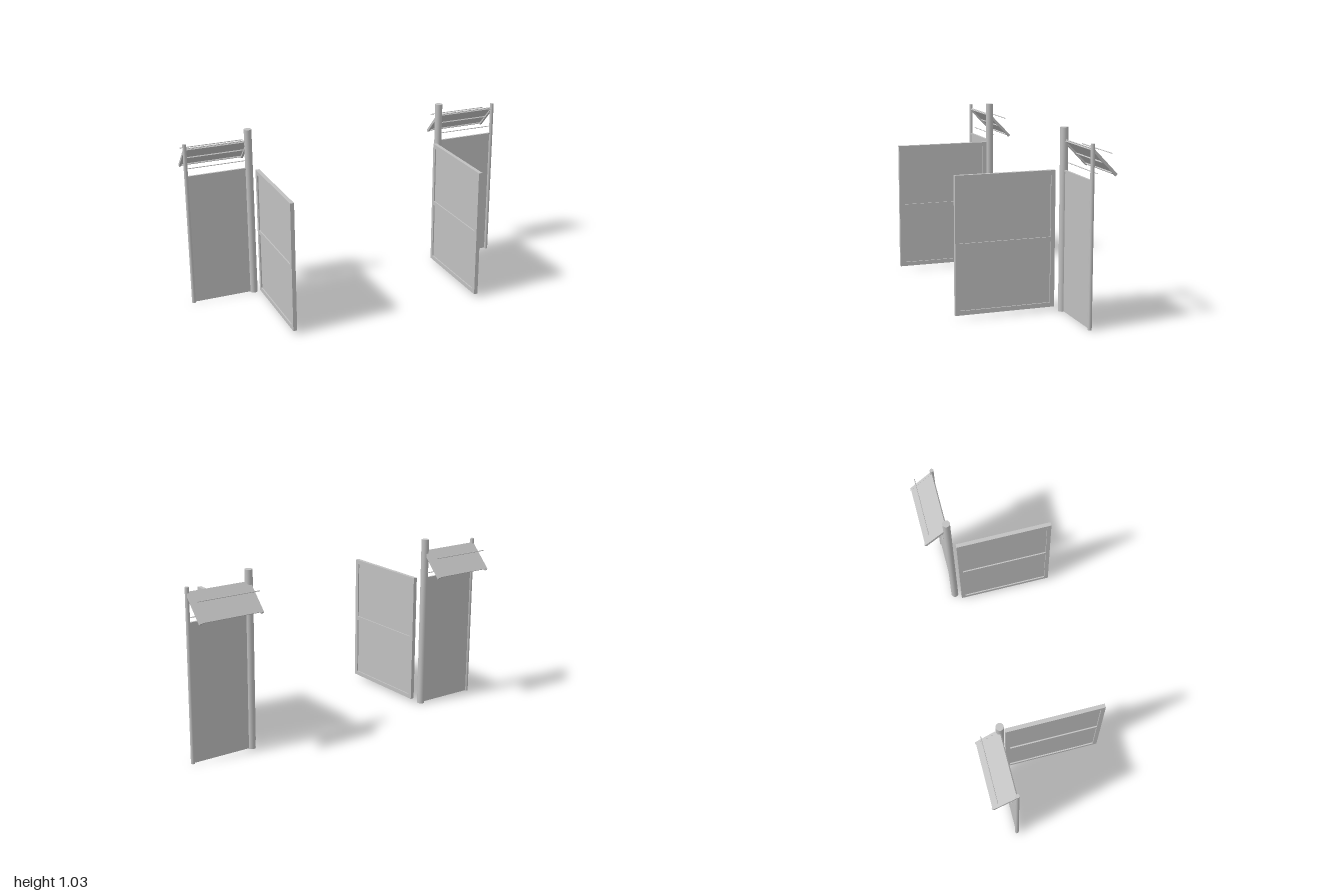
import * as THREE from 'three';

const grey = new THREE.MeshStandardMaterial({ color: 0xc0c0c0 });
grey.name = 'painted grey metal';

function box(parent, name, w, h, d, x, y, z) {
  const m = new THREE.Mesh(new THREE.BoxGeometry(w, h, d), grey);
  m.name = name;
  m.position.set(x, y, z);
  parent.add(m);
}

function post(parent, name, r, h, x, z) {
  const m = new THREE.Mesh(new THREE.CylinderGeometry(r, r, h, 16), grey);
  m.name = name;
  m.position.set(x, h / 2, z);
  parent.add(m);
}

// Gate leaf: outer frame, middle rail and two recessed panels
function gateLeaf(s) {
  const g = new THREE.Group();
  g.name = 'gateLeaf';
  const x = s * 0.576, t = 0.023, zc = 0.09, y0 = 0.021, y1 = 0.791;
  for (const z of [-0.185, 0.365]) box(g, 'gateStile', t, y1 - y0, 0.025, x, (y0 + y1) / 2, z);
  for (const y of [0.0335, 0.407, 0.7785]) box(g, 'gateRail', t, 0.025, 0.525, x, y, zc);
  for (const y of [0.22, 0.593]) box(g, 'gatePanel', 0.008, 0.352, 0.53, x, y, zc);
  return g;
}

// Fence bay: two posts with a thin infill sheet and top rail
function fenceBay(s) {
  const g = new THREE.Group();
  g.name = 'fenceBay';
  const z = -0.234, mid = s * 0.801, w = 0.37;
  post(g, 'mainPost', 0.0222, 1.029, s * 0.614, z);
  post(g, 'outerPost', 0.0112, 0.988, s * 0.9885, z);
  box(g, 'fencePanel', w, 0.787, 0.005, mid, 0.3965, z - 0.002);
  box(g, 'fenceTopRail', w, 0.011, 0.012, mid, 0.791, z);
  // Straight wires above the fence and behind the canopy
  for (const [y, wz] of [[0.933, -0.341], [0.831, -0.262]]) {
    const m = new THREE.Mesh(new THREE.CylinderGeometry(0.0025, 0.0025, 0.374, 8), grey);
    m.name = 'wire';
    m.rotation.z = Math.PI / 2;
    m.position.set(mid, y, wz);
    g.add(m);
  }
  return g;
}

// Sloping canopy: two arms carrying a sheet with ribs below
function canopy(s) {
  const g = new THREE.Group();
  g.name = 'canopy';
  g.position.set(s * 0.801, 0.967, -0.235);
  g.rotation.x = -0.8;
  const len = 0.2;
  for (const x of [-0.1865, 0.1865]) box(g, 'canopyArm', 0.013, 0.0155, len, x, -0.00775, -len / 2);
  box(g, 'canopySheet', 0.362, 0.005, len - 0.008, 0, -0.0035, -len / 2);
  for (const z of [-0.01, -0.11, -0.19]) box(g, 'canopyRib', 0.362, 0.008, 0.006, 0, -0.009, z);
  return g;
}

export function createModel() {
  const model = new THREE.Group();
  model.name = 'gateway';
  for (const s of [-1, 1]) {
    const side = new THREE.Group();
    side.name = s > 0 ? 'leftSide' : 'rightSide';
    side.add(gateLeaf(s), fenceBay(s), canopy(s));
    model.add(side);
  }
  return model;
}
